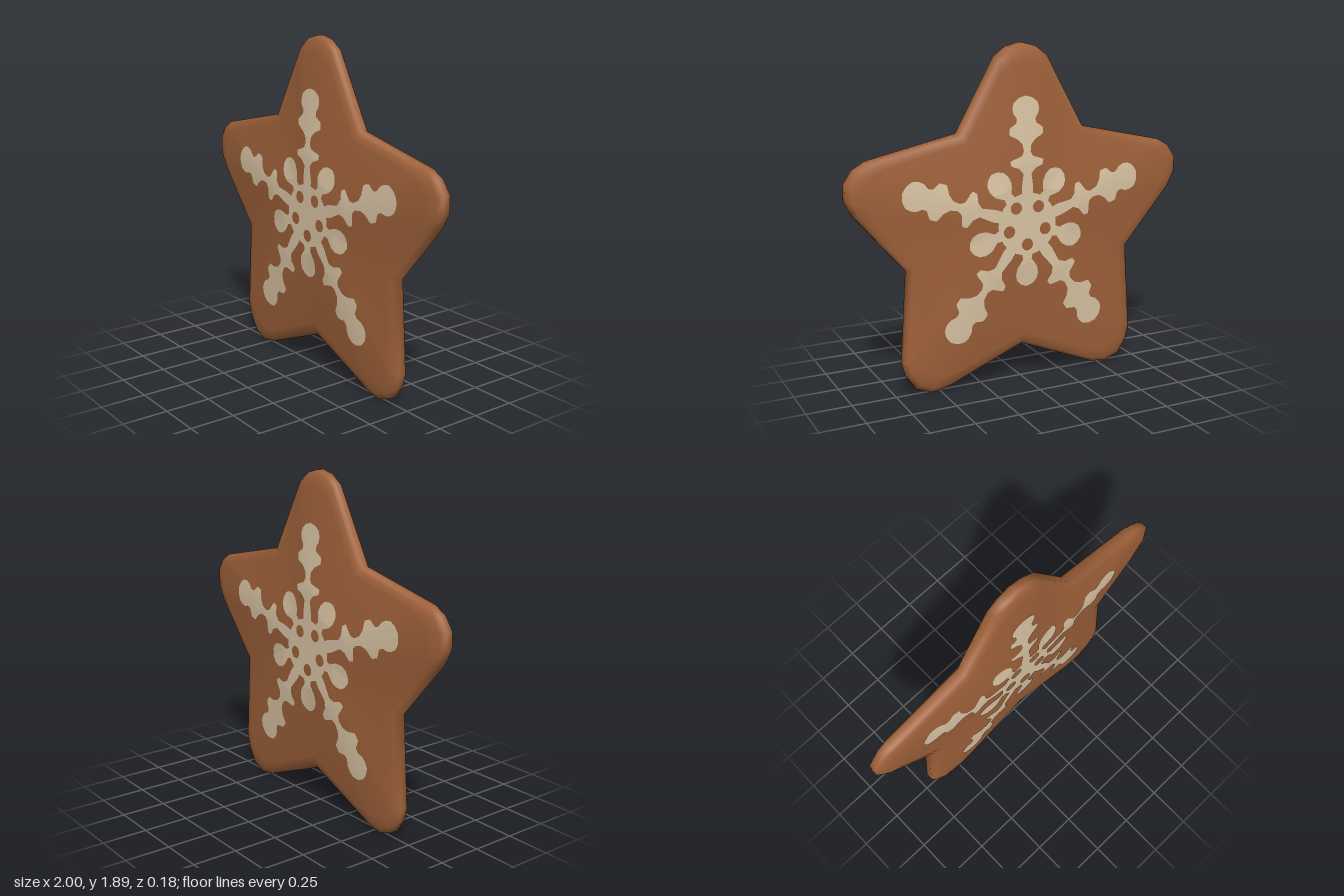
import * as THREE from 'three';
import { mergeVertices } from 'three/addons/utils/BufferGeometryUtils.js';

// Right half of the star outline, from the top tip down to the bottom notch
const HALF = [
  [0, 1.89], [0.08, 1.87], [0.15, 1.82], [0.375, 1.42], [0.88, 1.31], [0.95, 1.27], [1, 1.2], [1, 1.11],
  [0.96, 1.03], [0.675, 0.7], [0.71, 0.19], [0.69, 0.11], [0.64, 0.035], [0.55, 0], [0.455, 0.015], [0, 0.2],
];
const CY = 0.94; // height of the star's middle

// Full outline, counter-clockwise, relative to the middle
const right = HALF.map(([x, y]) => [x, y - CY]);
const left = right.slice(1, -1).map(([x, y]) => [-x, y]);
const OUTLINE = [...left, ...right.reverse()];

// Pillow profile: [outline scale, half thickness]
const PROFILE = [[0, 0.088], [0.33, 0.088], [0.9, 0.05], [0.97, 0.036], [1, 0.02]];

const lerpTable = (table, t) => {
  let k = 0;
  while (k < table.length - 2 && t > table[k + 1][0]) k++;
  const [[t0, v0], [t1, v1]] = [table[k], table[k + 1]];
  return v0 + (v1 - v0) * Math.min(1, Math.max(0, (t - t0) / (t1 - t0)));
};

// Height of the front face over a point
function surfaceZ(x, y) {
  const py = y - CY;
  for (let i = 0; i < OUTLINE.length; i++) {
    const a = OUTLINE[i], b = OUTLINE[(i + 1) % OUTLINE.length];
    const det = a[0] * b[1] - a[1] * b[0];
    const u = (x * b[1] - py * b[0]) / det;
    const v = (a[0] * py - a[1] * x) / det;
    if (u >= -1e-6 && v >= -1e-6) return lerpTable(PROFILE, u + v);
  }
  return PROFILE[0][1];
}

// Grid surface from rows of points
function grid(rows) {
  const n = rows[0].length, index = [];
  for (let j = 0; j < rows.length - 1; j++) {
    for (let i = 0; i < n - 1; i++) {
      const a = j * n + i, c = a + n;
      index.push(a, a + 1, c, a + 1, c + 1, c);
    }
  }
  const g = new THREE.BufferGeometry();
  g.setAttribute('position', new THREE.Float32BufferAttribute(rows.flat(2), 3));
  g.setIndex(index);
  const merged = mergeVertices(g);
  merged.computeVertexNormals();
  return merged;
}

// Icing profiles: [distance from the flake's middle, half width]
const ARM = [
  [0.12, 0.028], [0.2, 0.035], [0.28, 0.024], [0.31, 0.05], [0.325, 0.095], [0.355, 0.1], [0.375, 0.035],
  [0.4, 0.02], [0.44, 0.026], [0.47, 0.055], [0.49, 0.1], [0.53, 0.1], [0.555, 0.058], [0.58, 0.056],
  [0.605, 0.075], [0.635, 0.08], [0.665, 0.072], [0.69, 0.042], [0.7, 0.001],
];
const DROP = [
  [0.15, 0.035], [0.2, 0.026], [0.22, 0.042], [0.245, 0.06], [0.285, 0.068], [0.32, 0.06], [0.345, 0.035], [0.357, 0.001],
];
const FLAKE_Y = 0.91;
const LIFT = 0.004;

// Strip of icing laid over the face in direction "angle" from the top
function icingStrip(profile, angle, stretch) {
  const rows = [], steps = 70, cols = 10;
  const t0 = profile[0][0], t1 = profile.at(-1)[0];
  const s = Math.sin(angle), c = Math.cos(angle);
  for (let j = 0; j <= steps; j++) {
    const t = t0 + (t1 - t0) * j / steps;
    const w = lerpTable(profile, t), d = t0 + (t - t0) * stretch;
    rows.push(Array.from({ length: cols + 1 }, (_, i) => {
      const o = w * (2 * i / cols - 1);
      const x = s * d + c * o, y = FLAKE_Y + c * d - s * o;
      return [x, y, surfaceZ(x, y) + LIFT];
    }));
  }
  return grid(rows);
}

export function createModel() {
  const gingerbread = new THREE.MeshStandardMaterial({ color: 0xa0623a });
  gingerbread.name = 'gingerbread';
  const icing = new THREE.MeshStandardMaterial({ color: 0xdcc6a6 });
  icing.name = 'icing';

  const model = new THREE.Group();
  model.name = 'starCookie';

  // Cookie body: scaled outlines from the back middle round to the front middle
  const closed = [...OUTLINE, OUTLINE[0]];
  const levels = [...PROFILE.map(([s, z]) => [s, -z]), ...[...PROFILE].reverse()];
  const body = new THREE.Mesh(
    grid(levels.map(([s, z]) => closed.map(([x, y]) => [x * s, CY + y * s, z]))), gingerbread);
  body.name = 'cookieBody';
  model.add(body);

  // Snowflake icing
  const front = new THREE.Group();
  front.name = 'frontSnowflake';
  const add = (geometry, name) => {
    const mesh = new THREE.Mesh(geometry, icing);
    mesh.name = name;
    front.add(mesh);
  };
  const stretches = [1, 1.08, 1.12, 1.12, 1.08];
  const hub = new THREE.Shape().absarc(0, 0, 0.175, 0, Math.PI * 2);
  stretches.forEach((stretch, k) => {
    const armAngle = k * Math.PI * 0.4, dropAngle = armAngle + Math.PI * 0.2;
    add(icingStrip(ARM, armAngle, stretch), 'snowflakeArm');
    add(icingStrip(DROP, dropAngle, 1), 'snowflakeDrop');
    hub.holes.push(new THREE.Path().absarc(
      0.115 * Math.sin(dropAngle), 0.115 * Math.cos(dropAngle), 0.034, 0, Math.PI * 2, true));
  });
  add(new THREE.ShapeGeometry(hub, 16).translate(0, FLAKE_Y, PROFILE[0][1] + LIFT), 'snowflakeHub');
  model.add(front);

  // Same icing on the back
  const back = front.clone();
  back.name = 'backSnowflake';
  back.rotation.y = Math.PI;
  model.add(back);

  return model;
}
